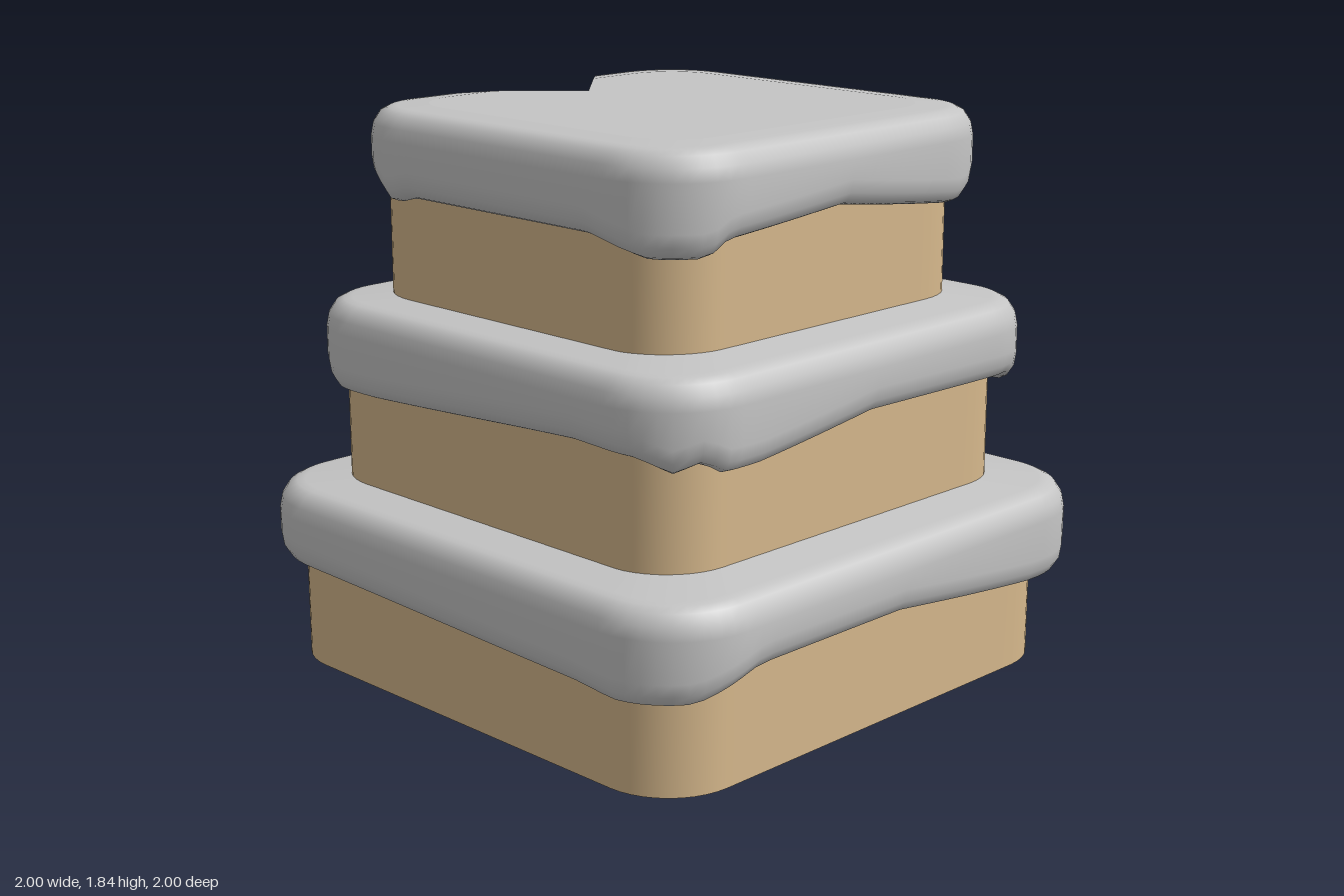
import * as THREE from 'three';

const APEX = -0.385; // x of the slice's inner tip, shared by all tiers

// Each tier: icing half width and corner radius, cake half width and x shift, slice slope, base, icing top,
// inset of the lid, lift of the lid, lowest drip
const TIERS = [
  { name: 'bottom', w: 1, r: 0.3, cake: 0.917, cx: -0.017, slope: 0.85, base: 0, top: 0.605, inner: 0.23, lift: 0.018, low: 0.305 },
  { name: 'middle', w: 0.87, r: 0.28, cake: 0.8, cx: -0.018, slope: 0.94, base: 0.6, top: 1.215, inner: 0.21, lift: 0.018, low: 0.925 },
  { name: 'top', w: 0.755, r: 0.28, cake: 0.69, cx: -0.02, slope: 1.04, base: 1.21, top: 1.83, inner: 0.16, lift: 0.006, low: 1.515 },
];

// Icing edge height above the lowest drip at angles around the tier; back and left are alike on all tiers
const BACK = [[-180, 0.07], [-152, 0.07], [-142, 0.05], [-135, 0], [-125, 0], [-50, 0.06]];
const LEFT = [[146, 0.01], [180, 0.01]];
const FRONT = {
  bottom: [[-45, 0.055], [-41, 0.005], [-33, 0.005], [0, 0.075], [32, 0.075], [42, 0.005], [53, 0], [60, 0.015], [123, 0.045], [137, 0.055]],
  middle: [[-45, 0.01], [-39, 0.05], [0, 0.06], [30, 0], [36, 0], [40, 0.04], [45, 0.01], [51, 0.05], [63, 0.06], [120, 0.005], [129, 0.005], [136, 0.055]],
  top: [[-43, 0.065], [-38, 0.03], [-34, 0.025], [0, 0.085], [34, 0.045], [38, 0], [50, 0], [63, 0.05], [119, 0.05], [124, 0.025], [129, 0.075], [135, 0.085]],
};

// Rounded icing section: inset and height, from the lower edge, then from the top
const LOWER = [[0.1, 0.008], [0.05, 0], [0.025, 0.01], [0.006, 0.04], [0, 0.08]];
const UPPER = [[0, -0.09], [0.008, -0.05], [0.03, -0.017], [0.058, -0.003], [0.085, 0]];

// Open rounded square, from the back edge of the slice around to its front edge
function contour(half, r, cx, endZ) {
  const pts = [], k = half - r;
  const line = (x0, z0, x1, z1, n) => {
    for (let i = 0; i < n; i++) pts.push([cx + x0 + (x1 - x0) * i / n, z0 + (z1 - z0) * i / n]);
  };
  const corner = (x, z, start) => {
    for (let i = 0; i < 10; i++) {
      const a = start + Math.PI / 2 * i / 10;
      pts.push([cx + x + r * Math.cos(a), z + r * Math.sin(a)]);
    }
  };
  line(-half, -endZ, -half, -k, 6);
  corner(-k, -k, -Math.PI);
  line(-k, -half, k, -half, 24);
  corner(k, -k, -Math.PI / 2);
  line(half, -k, half, k, 24);
  corner(k, k, 0);
  line(k, half, -k, half, 24);
  corner(-k, k, Math.PI / 2);
  line(-half, k, -half, endZ, 6);
  pts.push([cx - half, endZ]);
  return pts;
}

function build(pts, idx) {
  const g = new THREE.BufferGeometry();
  g.setAttribute('position', new THREE.Float32BufferAttribute(pts.flat(), 3));
  g.setIndex(idx);
  g.computeVertexNormals();
  return g;
}

// Surface through a stack of equally long rings
function loft(rings) {
  const n = rings[0].length, idx = [];
  for (let j = 0; j < rings.length - 1; j++) {
    for (let i = 0; i < n - 1; i++) {
      const a = j * n + i, b = a + 1, c = a + n, d = c + 1;
      idx.push(a, c, b, b, c, d);
    }
  }
  return build(rings.flat(), idx);
}

// Flat face spread from its first point
function fan(pts, up) {
  const idx = [];
  for (let i = 1; i < pts.length - 1; i++) idx.push(0, up ? i + 1 : i, up ? i : i + 1);
  return build(pts, idx);
}

// Linear interpolation of a drip line at an angle
function dripAt(table, angle) {
  let i = 0;
  while (i < table.length - 2 && table[i + 1][0] < angle) i++;
  const [a0, y0] = table[i], [a1, y1] = table[i + 1];
  return THREE.MathUtils.lerp(y0, y1, (angle - a0) / (a1 - a0));
}

export function createModel() {
  const model = new THREE.Group();
  model.name = 'tieredCake';
  const icing = new THREE.MeshStandardMaterial({ color: 0xc4c4c4, side: THREE.DoubleSide });
  const crust = new THREE.MeshStandardMaterial({ color: 0xd6b88c });
  const filling = new THREE.MeshStandardMaterial({ color: 0x6e412e });
  icing.name = 'icing grey';
  crust.name = 'cake tan';
  filling.name = 'filling brown';

  TIERS.forEach((t, level) => {
    const group = new THREE.Group();
    group.name = t.name + 'Tier';
    const add = (name, geometry, material) => {
      const mesh = new THREE.Mesh(geometry, material);
      mesh.name = name;
      group.add(mesh);
    };
    const wallX = t.cake - t.cx;
    const endZ = x => t.slope * (Math.min(x, wallX) + APEX) + 0.2 * Math.max(0, x - wallX);

    // Cake wall, underside and the two faces of the missing slice
    const plan = contour(t.cake, t.r - 0.06, t.cx, endZ(wallX));
    const at = y => plan.map(([x, z]) => [x, y, z]);
    add('cakeWall', loft([at(t.base), at(t.top - 0.02)]), crust);
    add('cakeUnderside', fan([[APEX, t.base, 0], ...at(t.base)], false), crust);
    const high = t.top + t.lift, tip = [APEX, 0];
    const cut = (p, q) => loft([[p, q].map(([x, z]) => [x, t.base, z]),
      [p, q].map(([x, z]) => [x, x === APEX ? high : t.top, z])]);
    add('frontCutFace', cut(plan[plan.length - 1], tip), filling);
    add('backCutFace', cut(tip, plan[0]), filling);

    // Icing: rounded section swept round the tier, with a wavy lower edge
    const drips = [...BACK, ...FRONT[t.name], ...LEFT];
    const edge = contour(t.w, t.r, 0, endZ(t.w)).map(([x, z]) =>
      t.low + dripAt(drips, THREE.MathUtils.radToDeg(Math.atan2(z, x))));
    const ring = (inset, height) =>
      contour(t.w - inset, Math.max(t.r - inset, 0.18), 0, endZ(t.w - inset))
        .map(([x, z], i) => [x, height(i), z]);
    const sides = [
      ...LOWER.map(([d, h]) => ring(d, i => edge[i] + h)),
      ...UPPER.map(([d, h]) => ring(d, () => t.top + h)),
    ];
    const rim = ring(t.inner, () => high);
    add('icing', loft([...sides, rim]), icing);
    add('icingBackEnd', fan(sides.map(r => r[0]), false), icing);
    add('icingFrontEnd', fan(sides.map(r => r[r.length - 1]), true), icing);

    // Top face: brown ledge under the next tier, icing on the uppermost
    const lid = fan([[APEX, high, 0], ...rim], true);
    add(level < 2 ? 'ledge' : 'icingTop', lid, level < 2 ? filling : icing);
    model.add(group);
  });
  return model;
}
